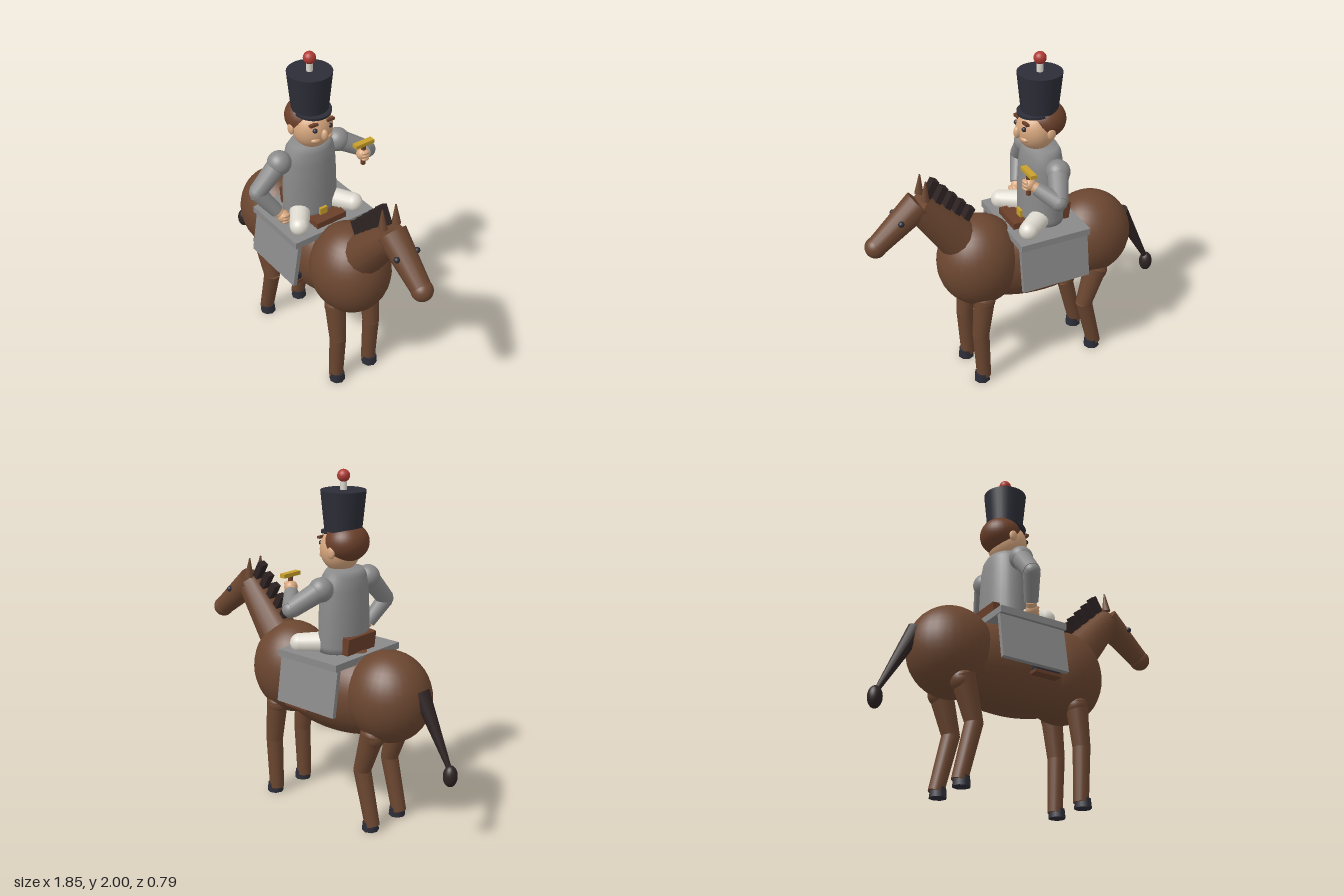
import * as THREE from 'three';

const mat = (name, color) => {
  const m = new THREE.MeshStandardMaterial({ color });
  m.name = name;
  return m;
};
const M = {
  brown: mat('horse brown', 0x6b4630),
  hair: mat('hair brown', 0x6a3f2a),
  grey: mat('coat grey', 0x8a8a8a),
  black: mat('hat black', 0x2c2d37),
  mane: mat('mane dark', 0x2e2323),
  white: mat('breeches white', 0xdedad0),
  skin: mat('skin', 0xd6a67e),
  gold: mat('gold', 0xc9a02c),
  red: mat('pompom red', 0xb03a34),
};
const V = (x, y, z) => new THREE.Vector3(x, y, z);

export function createModel() {
  const root = new THREE.Group();
  const group = (name, parent) => {
    const g = new THREE.Group();
    g.name = name;
    parent.add(g);
    return g;
  };
  const add = (parent, name, geo, m, x = 0, y = 0, z = 0) => {
    const mesh = new THREE.Mesh(geo, m);
    mesh.name = name;
    mesh.position.set(x, y, z);
    parent.add(mesh);
    return mesh;
  };
  const ball = (p, name, m, x, y, z, rx, ry = rx, rz = rx) => {
    const b = add(p, name, new THREE.SphereGeometry(1, 32, 20), m, x, y, z);
    b.scale.set(rx, ry, rz);
    return b;
  };
  const box = (p, name, m, x, y, z, w, h, d) =>
    add(p, name, new THREE.BoxGeometry(w, h, d), m, x, y, z);
  // tapered limb running from point a to point b
  const limb = (p, name, m, a, b, ra, rb, sides = 16) => {
    const d = b.clone().sub(a);
    const c = a.clone().add(b).multiplyScalar(0.5);
    const l = add(p, name, new THREE.CylinderGeometry(rb, ra, d.length(), sides), m, c.x, c.y, c.z);
    l.quaternion.setFromUnitVectors(V(0, 1, 0), d.normalize());
    return l;
  };

  const model = group('horse and rider', root);
  model.position.z = 0.007;
  const horse = group('horse', model);
  const saddle = group('saddle', model);
  const rider = group('rider', model);

  // Horse body
  ball(horse, 'rump', M.brown, -0.46, 0.78, 0, 0.25, 0.262, 0.23);
  ball(horse, 'barrel', M.brown, -0.1, 0.755, 0, 0.5, 0.26, 0.222);
  ball(horse, 'chest', M.brown, 0.26, 0.79, 0, 0.25, 0.278, 0.23);

  // Neck and head
  limb(horse, 'neck', M.brown, V(0.36, 0.94, 0), V(0.62, 1.245, 0), 0.125, 0.08, 14);
  limb(horse, 'head', M.brown, V(0.605, 1.255, 0), V(0.865, 1.045, 0), 0.085, 0.058, 16);
  ball(horse, 'muzzle', M.brown, 0.865, 1.045, 0, 0.061);
  for (const s of [1, -1]) {
    limb(horse, 'horseEar', M.brown, V(0.585, 1.29, s * 0.045), V(0.575, 1.405, s * 0.045), 0.026, 0.004, 8);
    ball(horse, 'horseEye', M.black, 0.733, 1.193, s * 0.068, 0.017);
  }

  // Mane clumps along the crest of the neck
  for (let i = 0; i < 5; i++) {
    const t = i / 4;
    const clump = box(horse, 'maneClump', M.mane, 0.33 + 0.205 * t, 1.105 + 0.225 * t, 0, 0.04, 0.11, 0.05);
    clump.rotation.z = 0.52;
  }

  // Tail
  limb(horse, 'tail', M.mane, V(-0.675, 0.86, 0), V(-0.875, 0.48, 0), 0.05, 0.015, 12);
  ball(horse, 'tailTuft', M.mane, -0.888, 0.43, 0, 0.04, 0.062, 0.04);

  // Horse legs and hooves
  for (const s of [1, -1]) {
    const z = s * 0.123;
    ball(horse, 'foreShoulder', M.brown, 0.285, 0.58, z, 0.063);
    limb(horse, 'foreUpperLeg', M.brown, V(0.285, 0.6, z), V(0.313, 0.345, z), 0.063, 0.05);
    limb(horse, 'foreLowerLeg', M.brown, V(0.313, 0.35, z), V(0.3, 0.03, z), 0.05, 0.043);
    ball(horse, 'hindHip', M.brown, -0.45, 0.575, z, 0.07, 0.07, 0.065);
    limb(horse, 'hindUpperLeg', M.brown, V(-0.45, 0.6, z), V(-0.375, 0.35, z), 0.07, 0.05);
    limb(horse, 'hindLowerLeg', M.brown, V(-0.375, 0.36, z), V(-0.455, 0.03, z), 0.05, 0.043);
    for (const x of [0.312, -0.442])
      add(horse, 'hoof', new THREE.CylinderGeometry(0.044, 0.049, 0.055, 8), M.black, x, 0.0275, z);
  }

  // Saddle cloth: flat top with two flared side panels
  box(saddle, 'clothTop', M.grey, -0.095, 0.975, 0, 0.43, 0.04, 0.55);
  for (const s of [1, -1]) {
    const panel = box(saddle, 'clothPanel', M.grey, -0.095, 0.825, s * 0.262, 0.42, 0.272, 0.025);
    panel.rotation.x = -s * 0.15;
  }
  box(saddle, 'saddleSeat', M.hair, -0.095, 1.0, 0, 0.32, 0.03, 0.2);
  box(saddle, 'cantle', M.hair, -0.24, 1.045, 0, 0.045, 0.1, 0.235).rotation.z = 0.12;
  box(saddle, 'pommel', M.hair, 0.06, 1.01, 0, 0.05, 0.045, 0.2);

  // Rider torso
  const profile = [[0.02, 0.99], [0.98, 0.99], [1, 1.03], [0.98, 1.2], [0.93, 1.35], [0.85, 1.42], [0.7, 1.455], [0.01, 1.465]]
    .map(([r, y]) => new THREE.Vector2(r, y));
  const torso = add(rider, 'torso', new THREE.LatheGeometry(profile, 32), M.grey, -0.13);
  torso.scale.set(0.125, 1, 0.17);
  box(rider, 'beltBuckle', M.gold, 0.0, 1.035, 0, 0.02, 0.045, 0.05);

  // Thighs, knees and boots
  for (const s of [1, -1]) {
    limb(rider, 'thigh', M.white, V(-0.1, 1.04, s * 0.09), V(0.035, 1.03, s * 0.19), 0.062, 0.055);
    ball(rider, 'knee', M.white, 0.035, 1.03, s * 0.19, 0.055);
    limb(rider, 'bootShaft', M.black, V(0.03, 0.96, s * 0.21), V(-0.02, 0.7, s * 0.235), 0.035, 0.03);
    box(rider, 'boot', M.black, 0, 0.7, s * 0.235, 0.15, 0.04, 0.05);
    box(rider, 'stirrup', M.hair, 0, 0.672, s * 0.235, 0.165, 0.018, 0.06);
  }

  // Arms: one resting on the thigh, one raised
  const arm = (name, shoulder, elbow, wrist, hand) => {
    const g = group(name, rider);
    ball(g, 'shoulder', M.grey, shoulder.x, shoulder.y, shoulder.z, 0.069);
    limb(g, 'upperArm', M.grey, shoulder, elbow, 0.06, 0.05);
    ball(g, 'elbow', M.grey, elbow.x, elbow.y, elbow.z, 0.046);
    limb(g, 'forearm', M.grey, elbow, wrist, 0.049, 0.04);
    limb(g, 'wrist', M.skin, wrist, hand, 0.03, 0.028);
    ball(g, 'hand', M.skin, hand.x, hand.y, hand.z, 0.037);
    for (let i = 0; i < 3; i++)
      ball(g, 'finger', M.skin, hand.x + 0.025, hand.y - 0.02 + i * 0.02, hand.z, 0.015, 0.012, 0.025);
  };
  arm('restingArm', V(-0.135, 1.37, 0.2), V(-0.155, 1.215, 0.34), V(-0.1, 1.08, 0.25), V(-0.075, 1.045, 0.222));
  arm('raisedArm', V(-0.135, 1.37, -0.2), V(-0.06, 1.28, -0.36), V(0.025, 1.34, -0.265), V(0.055, 1.36, -0.235));

  // Object held in the raised hand
  limb(rider, 'handle', M.hair, V(0.06, 1.295, -0.235), V(0.06, 1.42, -0.235), 0.014, 0.014, 10);
  box(rider, 'handleBar', M.gold, 0.06, 1.432, -0.235, 0.036, 0.022, 0.125);

  // Head
  const head = group('riderHead', rider);
  ball(head, 'face', M.skin, -0.1, 1.56, 0, 0.113, 0.125, 0.116);
  ball(head, 'hair', M.hair, -0.15, 1.605, 0, 0.12, 0.108, 0.127);
  ball(head, 'nose', M.skin, 0.015, 1.553, 0, 0.022, 0.034, 0.02);
  for (const s of [1, -1]) {
    ball(head, 'ear', M.skin, -0.135, 1.56, s * 0.118, 0.025, 0.034, 0.014);
    ball(head, 'eye', M.black, -0.003, 1.588, s * 0.05, 0.014);
    ball(head, 'cheek', M.skin, -0.015, 1.522, s * 0.035, 0.025, 0.018, 0.035);
    box(head, 'eyebrow', M.hair, -0.01, 1.622, s * 0.055, 0.02, 0.014, 0.05);
  }

  // Tall hat with visor and pompom
  const hat = group('hat', rider);
  add(hat, 'crown', new THREE.CylinderGeometry(0.126, 0.104, 0.22, 32), M.black, -0.12, 1.778, 0);
  add(hat, 'visor', new THREE.CylinderGeometry(0.108, 0.108, 0.014, 24, 1, false, 0, Math.PI), M.black, -0.1, 1.665, 0)
    .rotation.z = -0.1;
  add(hat, 'plumeStem', new THREE.CylinderGeometry(0.018, 0.018, 0.08, 12), M.white, -0.12, 1.915, 0);
  ball(hat, 'pompom', M.red, -0.12, 1.965, 0, 0.035);

  return root;
}
